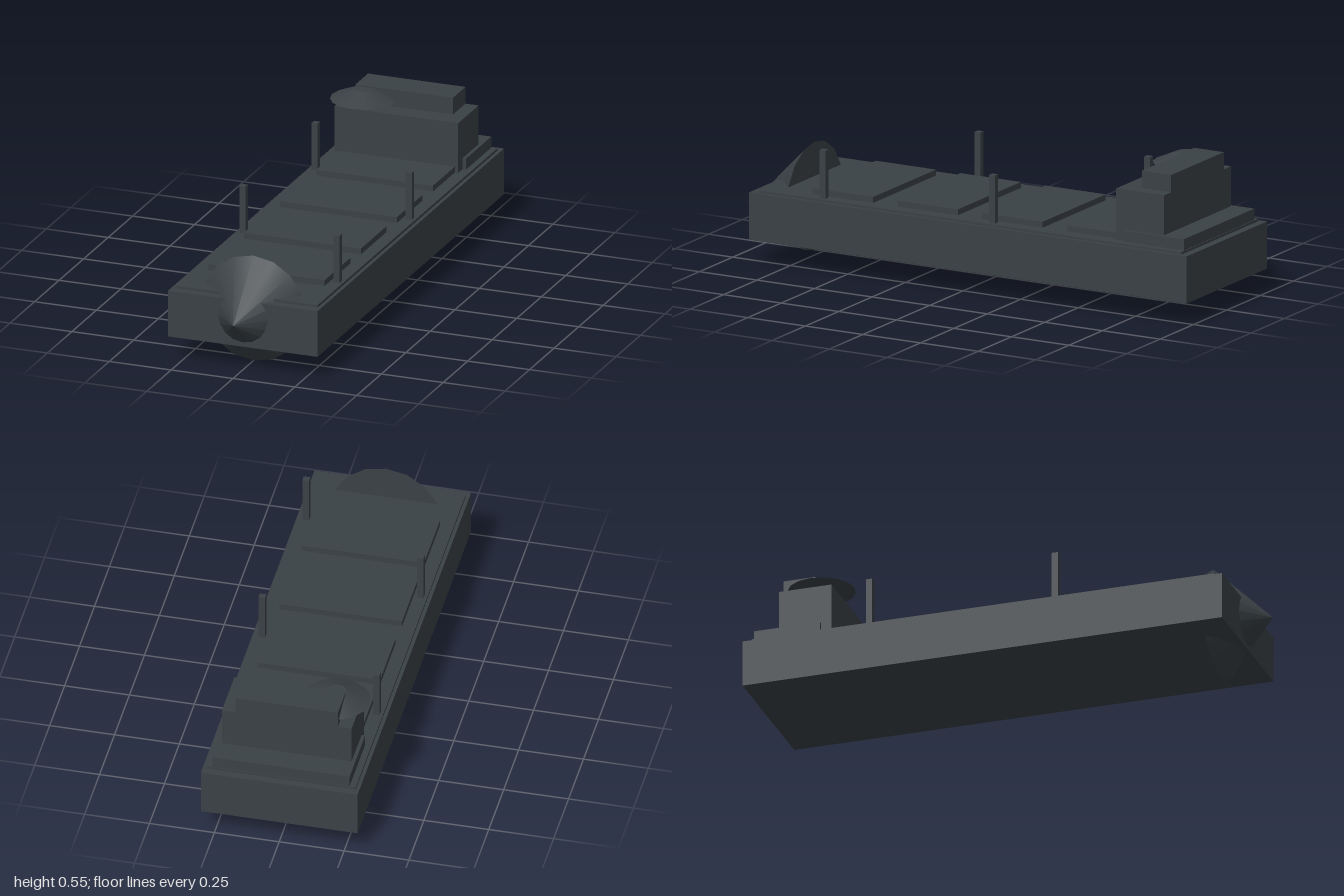
import * as THREE from 'three';

export function createModel() {
  const ship = new THREE.Group();
  ship.name = 'cargoShip';
  const paint = new THREE.MeshStandardMaterial({ color: 0x3a4145 });

  const add = (name, geometry, x, y, z) => {
    const mesh = new THREE.Mesh(geometry, paint);
    mesh.name = name;
    mesh.position.set(x, y, z);
    ship.add(mesh);
    return mesh;
  };
  // Box centred on x, given its width and its ranges in y and z
  const block = (name, width, y0, y1, z0, z1, x = 0) =>
    add(name, new THREE.BoxGeometry(width, y1 - y0, z1 - z0), x, (y0 + y1) / 2, (z0 + z1) / 2);

  // Hull and the thin deck plate on it
  block('hull', 0.604, 0.094, 0.277, -1, 0.9);
  block('deck', 0.576, 0.277, 0.287, -0.97, 0.865);

  // Bow cone, pointing forward through the front of the hull
  add('bowCone', new THREE.ConeGeometry(0.21, 0.21, 16).rotateX(Math.PI / 2), 0, 0.211, 0.895);

  // Four hatch covers, each with a post on alternating sides
  for (let i = 0; i < 4; i++) {
    const z = 0.53 - i * 0.368;
    block('hatchCover', 0.472, 0.28, 0.31, z - 0.131, z + 0.131);
    const postZ = z + 0.066;
    block('cranePost', 0.025, 0.28, 0.474, postZ - 0.0125, postZ + 0.0125, i % 2 ? -0.263 : 0.263);
  }

  // Stern superstructure
  block('cabinBase', 0.528, 0.28, 0.331, -0.967, -0.707);
  block('cabin', 0.5, 0.285, 0.486, -0.873, -0.665);
  block('bridge', 0.394, 0.486, 0.553, -0.873, -0.745);

  // Flared funnel cap
  add('funnelCap', new THREE.CylinderGeometry(0.04, 0.129, 0.039, 16), -0.158, 0.5265, -0.735);

  return ship;
}
